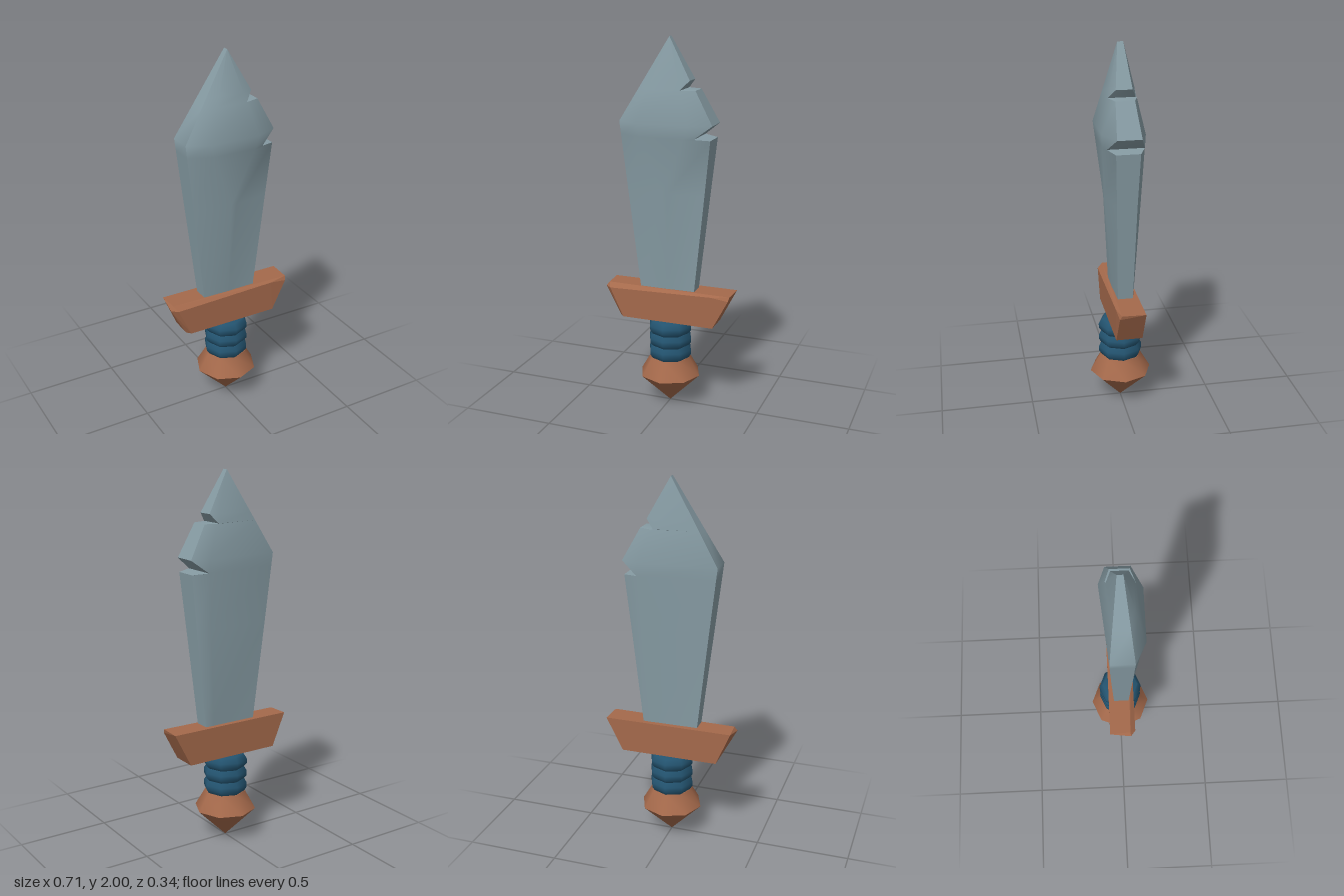
import * as THREE from 'three';
import { toCreasedNormals } from 'three/addons/utils/BufferGeometryUtils.js';
import { ConvexGeometry } from 'three/addons/geometries/ConvexGeometry.js';

const steel = new THREE.MeshStandardMaterial({ name: 'steel', color: 0x869ba3 });
const bronze = new THREE.MeshStandardMaterial({ name: 'bronze', color: 0xa4694b });
const wrap = new THREE.MeshStandardMaterial({ name: 'blueWrap', color: 0x23536f });

// Blade body: y, left x, left half thickness, front ridge left/right x, front z, back ridge x, back z
const BODY = [
  [0.64, -0.152, 0.04, -0.01, 0.01, 0.042, 0.1, -0.042],
  [1.2, -0.217, 0.055, -0.015, 0.015, 0.088, 0.14, -0.08],
  [1.565, -0.26, 0.062, -0.15, 0.13, 0.118, 0.155, -0.1],
  [2.0, 0, 0.015, 0, 0, 0.015, 0, -0.015],
];
// Chipped right edge: y, x, front z, back z
const EDGE = [
  [0.64, 0.146, 0.04, -0.04],
  [1.2, 0.207, 0.055, -0.05],
  [1.49, 0.238, 0.065, -0.06],
  [1.497, 0.16, 0.097, -0.095],
  [1.565, 0.247, 0.062, -0.065],
  [1.737, 0.153, 0.052, -0.045],
  [1.738, 0.08, 0.073, -0.063],
  [1.785, 0.12, 0.045, -0.04],
  [2.0, 0, 0.015, -0.015],
];

function bodyAt(y) {
  let i = 0;
  while (i < BODY.length - 2 && y > BODY[i + 1][0]) i++;
  const t = (y - BODY[i][0]) / (BODY[i + 1][0] - BODY[i][0]);
  return BODY[i].map((v, k) => THREE.MathUtils.lerp(v, BODY[i + 1][k], t));
}

// One seven-cornered cross-section per edge point, joined into a skin
function bladeGeometry() {
  const pos = [], index = [], n = 7;
  EDGE.forEach(([y, x, zf, zb], s) => {
    const [, xl, zl, ridgeL, ridgeR, front, backX, back] = bodyAt(y);
    const ring = [[xl, -zl], [xl, zl], [ridgeL, front], [Math.min(ridgeR, x), front],
      [x, zf], [x, zb], [Math.min(backX, x), back]];
    ring.forEach(([px, pz]) => pos.push(px, y, pz));
    if (s === 0) return;
    for (let j = 0; j < n; j++) {
      const a = (s - 1) * n + j, b = (s - 1) * n + (j + 1) % n;
      index.push(a, b, b + n, a, b + n, a + n);
    }
  });
  const g = new THREE.BufferGeometry();
  g.setAttribute('position', new THREE.Float32BufferAttribute(pos, 3));
  g.setIndex(index);
  g.computeVertexNormals();
  return toCreasedNormals(g, 0.7);
}

// Tapered crossguard with worn front corners
function guardGeometry() {
  return new ConvexGeometry([
    [-0.347, 0.667, -0.07], [0.355, 0.667, -0.07], [0.35, 0.667, 0.055],
    [-0.34, 0.667, 0.042], [-0.357, 0.645, 0.045], [-0.325, 0.643, 0.07],
    [0.25, 0.658, 0.07], [0.345, 0.645, 0.066],
    [-0.27, 0.485, -0.07], [0.262, 0.485, -0.07], [0.262, 0.485, 0.07],
    [-0.25, 0.485, 0.07], [-0.272, 0.485, 0.045],
  ].map(p => new THREE.Vector3(...p)));
}

function turned(profile, crease) {
  const pts = profile.map(([r, y]) => new THREE.Vector2(r, y));
  return toCreasedNormals(new THREE.LatheGeometry(pts, 8), crease);
}

export function createModel() {
  const model = new THREE.Group();
  model.name = 'shortSword';
  const add = (name, geometry, material) => {
    const mesh = new THREE.Mesh(geometry, material);
    mesh.name = name;
    model.add(mesh);
  };

  add('blade', bladeGeometry(), steel);
  add('crossguard', guardGeometry(), bronze);

  // Grip with three swollen bands
  const grip = [[0, 0.26], [0.103, 0.262]];
  for (let i = 0; i < 3; i++) {
    const y = 0.29 + i * 0.07;
    grip.push([0.12, y], [0.12, y + 0.025], [0.104, y + 0.05]);
  }
  grip.push([0.1, 0.483], [0, 0.484]);
  add('grip', turned(grip, 1.1), wrap);

  // Eight-sided pointed pommel
  add('pommel', turned([[0, 0], [0.168, 0.168], [0.11, 0.268], [0, 0.268]], 0.9), bronze);
  return model;
}
